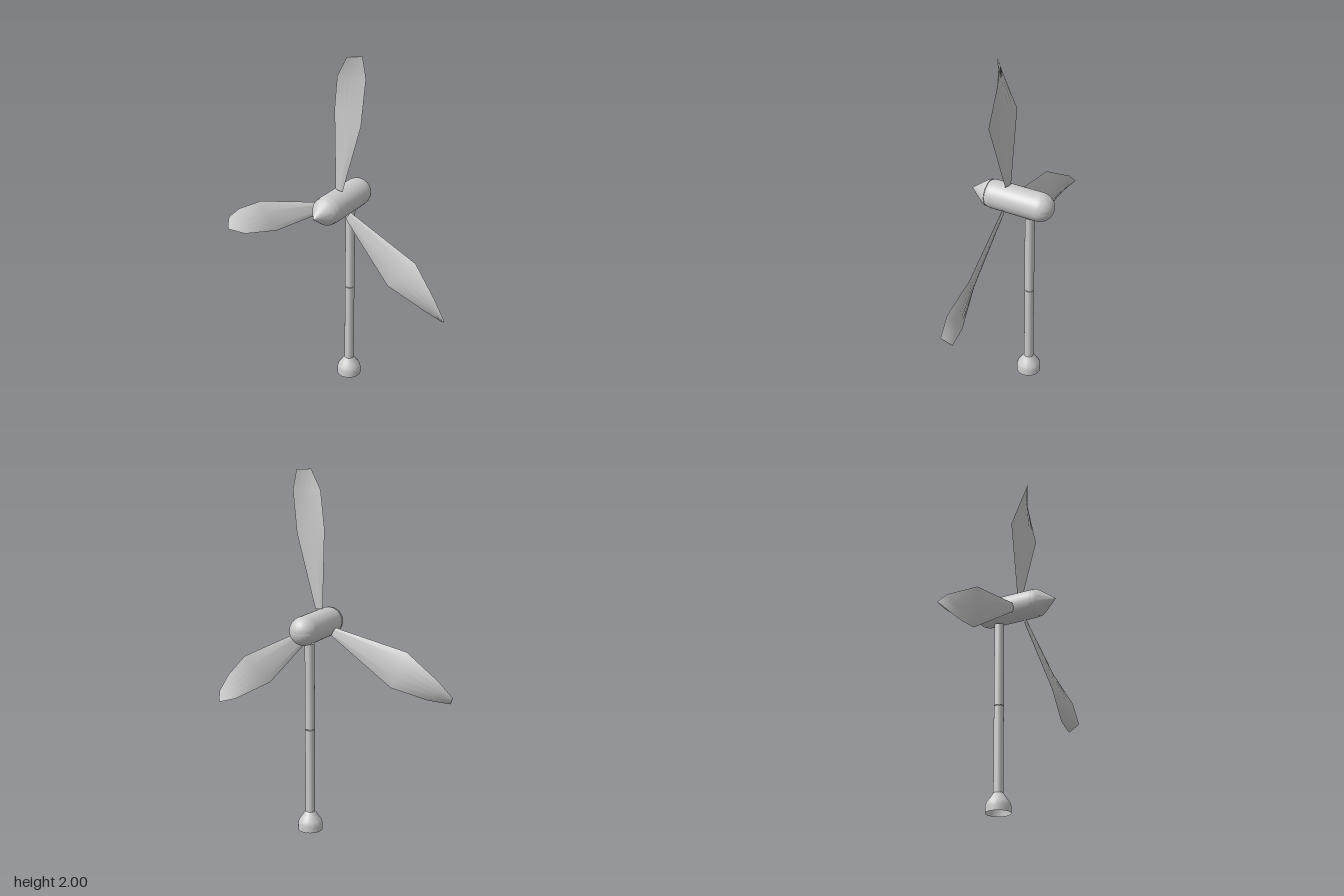
import * as THREE from 'three';
import { toCreasedNormals } from 'three/addons/utils/BufferGeometryUtils.js';

const material = new THREE.MeshStandardMaterial({ color: 0xcccccc, side: THREE.DoubleSide });

function addMesh(parent, geometry, name) {
  const mesh = new THREE.Mesh(geometry, material);
  mesh.name = name;
  parent.add(mesh);
  return mesh;
}

// Turned part from [radius, height] pairs, bottom to top
function turned(profile) {
  const points = profile.map(([r, h]) => new THREE.Vector2(r, h));
  return toCreasedNormals(new THREE.LatheGeometry(points, 40), 0.6);
}

// Twisted blade along +y: lens sections strung between a left and a right edge
function bladeGeometry() {
  const stations = [
    // left edge x, y, z     right edge x, y, z     half thickness
    [[-0.025, 0.084, -0.004], [0.025, 0.088, 0.004], 0.007],
    [[-0.101, 0.522, -0.028], [0.102, 0.505, 0.028], 0.012],
    [[-0.075, 0.725, 0.022], [0.069, 0.742, -0.022], 0.009],
    [[-0.029, 0.842, 0.026], [0.031, 0.849, -0.026], 0.004],
  ];
  const sides = 16;
  const positions = [];
  const indices = [];
  for (const [left, right, thickness] of stations) {
    const l = new THREE.Vector3(...left);
    const r = new THREE.Vector3(...right);
    for (let i = 0; i < sides; i++) {
      const a = (i / sides) * Math.PI * 2;
      const p = l.clone().lerp(r, (1 + Math.cos(a)) / 2);
      p.z += thickness * Math.sin(a) * Math.abs(Math.sin(a));
      positions.push(p.x, p.y, p.z);
    }
  }
  for (let s = 0; s < stations.length - 1; s++) {
    for (let i = 0; i < sides; i++) {
      const j = (i + 1) % sides;
      const a = s * sides + i, b = s * sides + j;
      indices.push(a, a + sides, b + sides, a, b + sides, b);
    }
  }
  // End caps
  const tip = (stations.length - 1) * sides;
  for (let i = 1; i < sides - 1; i++) {
    indices.push(0, i, i + 1, tip, tip + i + 1, tip + i);
  }
  const geometry = new THREE.BufferGeometry();
  geometry.setAttribute('position', new THREE.Float32BufferAttribute(positions, 3));
  geometry.setIndex(indices);
  return toCreasedNormals(geometry, 0.9);
}

export function createModel() {
  const model = new THREE.Group();
  model.name = 'windTurbine';

  // Tower: flared hollow foot and a pole in two lengths with a fine joint
  const tower = new THREE.Group();
  tower.name = 'tower';
  tower.position.set(0.05, 0, -0.11);
  model.add(tower);
  addMesh(tower, turned([
    [0.069, 0], [0.069, 0.03], [0.067, 0.045], [0.062, 0.058],
    [0.046, 0.08], [0.034, 0.098], [0.027, 0.108],
  ]), 'foot');
  addMesh(tower, turned([[0.027, 0.1], [0.027, 0.589], [0.024, 0.59]]), 'lowerPole');
  addMesh(tower, turned([[0.024, 0.592], [0.027, 0.593], [0.027, 1.077], [0, 1.077]]), 'upperPole');

  // Head: nacelle with a domed back and a pointed nose, lying along z
  const head = new THREE.Group();
  head.name = 'head';
  head.position.set(0.05, 1.16, 0);
  model.add(head);
  const radius = 0.08;
  const nacelle = [];
  for (let i = 0; i <= 12; i++) {
    const a = (i / 12) * Math.PI / 2;
    nacelle.push([radius * Math.sin(a), -0.17 - radius * Math.cos(a)]);
  }
  nacelle.push([radius, 0.105], [0.079, 0.12], [0.074, 0.133], [0, 0.133]);
  addMesh(head, turned(nacelle), 'nacelle').rotation.x = Math.PI / 2;
  addMesh(head, turned([
    [0, 0.131], [0.077, 0.134], [0.075, 0.143], [0.068, 0.156], [0.058, 0.17], [0, 0.247],
  ]), 'noseCone').rotation.x = Math.PI / 2;

  // Rotor: three equal blades
  const rotor = new THREE.Group();
  rotor.name = 'rotor';
  rotor.position.z = 0.017;
  head.add(rotor);
  const blade = bladeGeometry();
  for (let k = 0; k < 3; k++) {
    addMesh(rotor, blade, 'blade' + (k + 1)).rotation.z = -0.117 + (k * Math.PI * 2) / 3;
  }
  return model;
}
